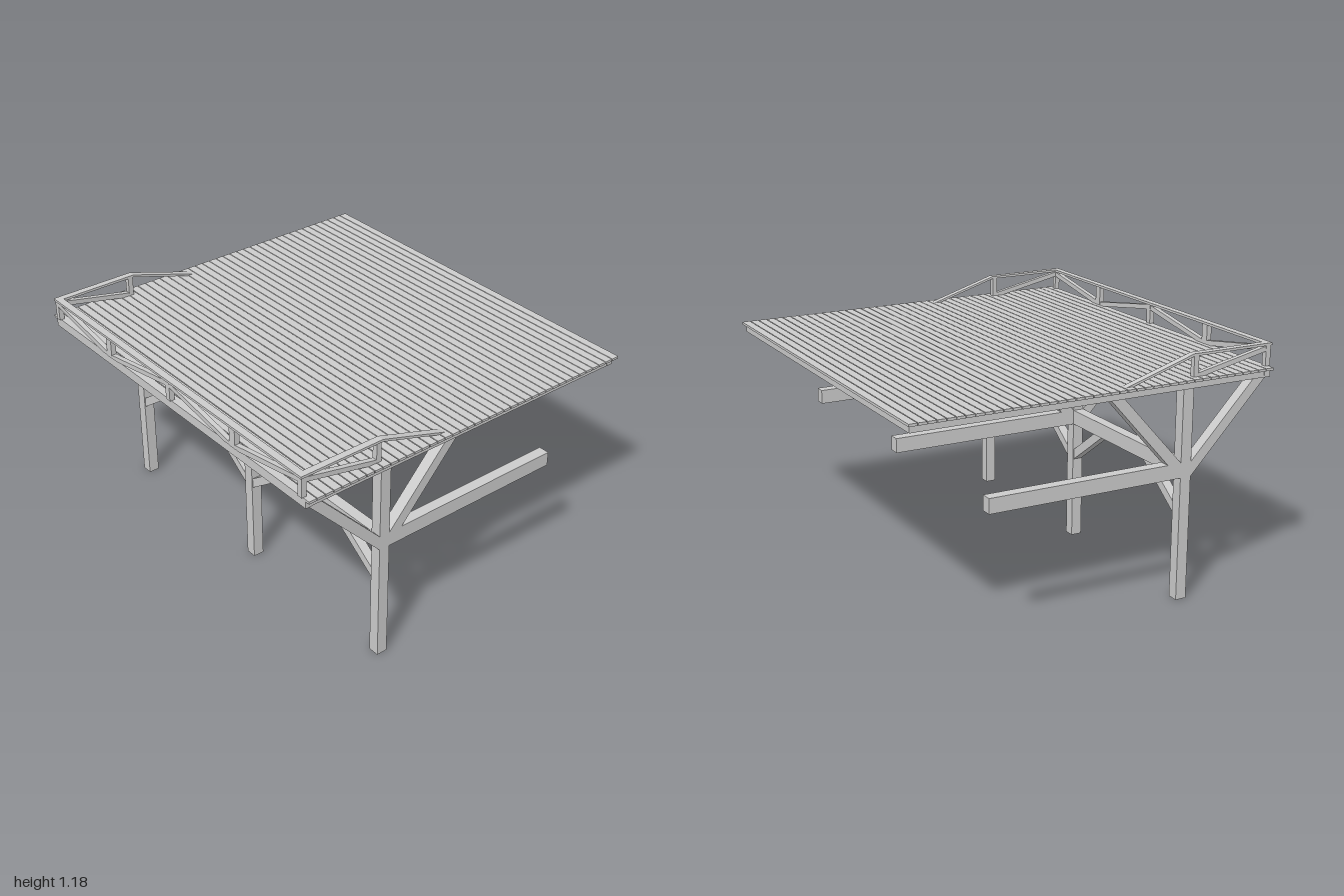
import * as THREE from 'three';

const material = new THREE.MeshStandardMaterial({ color: 0xcccccc, flatShading: true });

export function createModel() {
  const group = new THREE.Group();

  // Box from its limits on each axis
  const beam = (name, [x0, x1], [y0, y1], [z0, z1]) => {
    const mesh = new THREE.Mesh(new THREE.BoxGeometry(x1 - x0, y1 - y0, z1 - z0), material);
    mesh.position.set((x0 + x1) / 2, (y0 + y1) / 2, (z0 + z1) / 2);
    mesh.name = name;
    group.add(mesh);
  };
  const around = (c, w) => [c - w / 2, c + w / 2];

  // Flat timber with mitred ends, drawn as an outline and given a thickness
  const prism = (points, depth) => {
    const shape = new THREE.Shape(points.map(([a, b]) => new THREE.Vector2(a, b)));
    return new THREE.ExtrudeGeometry(shape, { depth, bevelEnabled: false }).translate(0, 0, -depth / 2);
  };
  // Outline in x, y
  const acrossTimber = (name, points, depth, z) => {
    const mesh = new THREE.Mesh(prism(points, depth), material);
    mesh.position.z = z;
    mesh.name = name;
    group.add(mesh);
  };
  // Outline in z, y
  const sideTimber = (name, points, depth, x) => {
    const mesh = new THREE.Mesh(prism(points, depth), material);
    mesh.rotation.y = -Math.PI / 2;
    mesh.position.x = x;
    mesh.name = name;
    group.add(mesh);
  };

  // Posts, rear beams and the raking struts under the deck
  const postZ = 0.47, w = 0.055;
  for (const x of [-0.9375, 0, 0.9375]) {
    beam('post', around(x, w), [0, 1.02], around(postZ, w));
    beam('rearBeam', around(x, w), [0.6, 0.672], [-0.54, 0.443]);
    sideTimber('frontStrut', [[0.497, 0.6], [0.895, 1.02], [0.828, 1.02], [0.497, 0.672]], w, x);
    sideTimber('rearStrut', [[0.443, 0.672], [0.372, 0.672], [0.06, 1.02], [0.128, 1.02], [0.443, 0.672]].slice(0, 4), w, x);
  }

  // Cross beams between the posts
  for (const s of [-1, 1]) {
    beam('crossBeam', around(s * 0.46875, 0.8825), [0.6, 0.672], around(postZ, w));
  }

  // Knee braces below the cross beams
  for (const [x, s] of [[-0.9375, 1], [0, -1], [0, 1], [0.9375, -1]]) {
    const points = [[0.0275, 0.413], [0.288, 0.6], [0.215, 0.6], [0.0275, 0.465]];
    acrossTimber('kneeBrace', points.map(([a, b]) => [x + s * a, b]), 0.045, postZ);
  }

  // Deck frame: joists and end rims
  for (const x of [-0.943, -0.485, 0, 0.485, 0.943]) {
    beam('joist', around(x, 0.065), [1.02, 1.055], [-0.88, 0.88]);
  }
  for (const s of [-1, 1]) {
    beam('deckRim', [-0.977, 0.977], [1.02, 1.055], around(s * 0.895, 0.033));
  }

  // Deck boards with narrow gaps
  const count = 42, pitch = (0.912 + 0.925 + 0.004) / count;
  for (let i = 0; i < count; i++) {
    const z = -0.925 + i * pitch;
    beam('deckBoard', [-1, 1], [1.055, 1.067], [z, z + pitch - 0.004]);
  }

  // Front railing
  const railZ = 0.907;
  beam('frontTopRail', [-0.965, 0.965], [1.164, 1.176], around(railZ, 0.036));
  beam('frontCentrePost', around(0, 0.03), [1.067, 1.164], around(railZ, 0.026));
  for (const s of [-1, 1]) {
    beam('frontRailPost', around(s * 0.485, 0.04), [1.067, 1.164], around(railZ, 0.026));
    const outer = [[0.935, 1.161], [0.935, 1.137], [0.535, 1.067], [0.505, 1.067], [0.505, 1.087]];
    const inner = [[0.015, 1.161], [0.015, 1.137], [0.425, 1.067], [0.465, 1.067], [0.465, 1.084]];
    for (const points of [outer, inner]) {
      acrossTimber('frontRailDiagonal', points.map(([a, b]) => [s * a, b]), 0.024, railZ);
    }
  }

  // Side railings with a sloping tail
  for (const s of [-1, 1]) {
    const x = s * 0.948;
    beam('cornerRailPost', around(x, 0.026), [1.067, 1.164], around(railZ, 0.026));
    beam('sideRailPost', around(x, 0.026), [1.067, 1.164], around(0.509, 0.026));
    sideTimber('sideTopRail',
      [[0.889, 1.164], [0.889, 1.176], [0.492, 1.176], [0.14, 1.067], [0.178, 1.067], [0.492, 1.164]], 0.034, x);
    sideTimber('sideRailDiagonal',
      [[0.894, 1.161], [0.894, 1.137], [0.56, 1.067], [0.522, 1.067], [0.522, 1.083]], 0.024, x);
  }

  return group;
}
